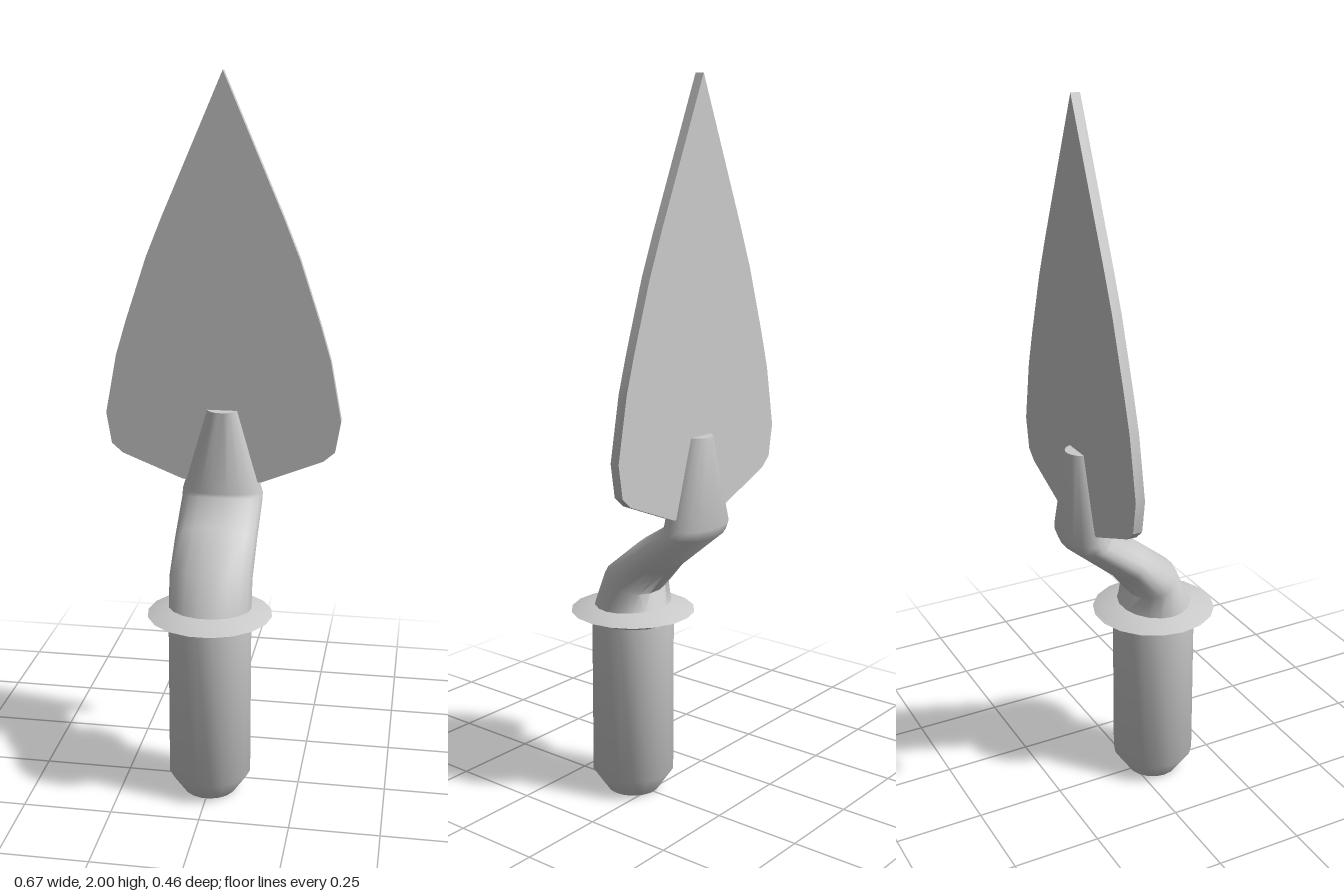
import * as THREE from 'three';
import { toCreasedNormals } from 'three/addons/utils/BufferGeometryUtils.js';

const SIDES = 18;
const HANDLE_Z = 0.06;
const material = new THREE.MeshStandardMaterial({ color: 0xcccccc });

function addPart(group, name, geometry, crease) {
  const mesh = new THREE.Mesh(toCreasedNormals(geometry, crease), material);
  mesh.name = name;
  group.add(mesh);
  return mesh;
}

function lathe(points) {
  return new THREE.LatheGeometry(points.map(([r, y]) => new THREE.Vector2(r, y)), SIDES, Math.PI / SIDES);
}

// Tilted oval rings: [front z, front y, back z, back y, half width], closed by a cap on top
function ovalLoft(rings) {
  const positions = [], index = [];
  for (const [fz, fy, bz, by, w] of rings) {
    for (let j = 0; j < SIDES; j++) {
      const a = ((j + 0.5) / SIDES) * Math.PI * 2;
      const t = (1 - Math.cos(a)) / 2;
      positions.push(w * Math.sin(a), fy + (by - fy) * t, fz + (bz - fz) * t);
    }
  }
  for (let i = 0; i < rings.length - 1; i++) {
    for (let j = 0; j < SIDES; j++) {
      const a = i * SIDES + j, b = i * SIDES + (j + 1) % SIDES;
      index.push(a, b, b + SIDES, a, b + SIDES, a + SIDES);
    }
  }
  const [fz, fy, bz, by] = rings[rings.length - 1];
  const start = (rings.length - 1) * SIDES, centre = rings.length * SIDES;
  positions.push(0, (fy + by) / 2, (fz + bz) / 2);
  for (let j = 0; j < SIDES; j++) index.push(start + j, start + (j + 1) % SIDES, centre);
  const geometry = new THREE.BufferGeometry();
  geometry.setAttribute('position', new THREE.Float32BufferAttribute(positions, 3));
  geometry.setIndex(index);
  geometry.computeVertexNormals();
  return geometry;
}

export function createModel() {
  const group = new THREE.Group();
  group.name = 'trowel';

  // Grip with a bevelled butt
  const handle = addPart(group, 'handle', lathe([[0, 0], [0.075, 0], [0.117, 0.06], [0.117, 0.53]]), 0.9);
  handle.position.z = HANDLE_Z;

  // Thin sharp-edged guard
  const collar = addPart(group, 'collar',
    lathe([[0.115, 0.515], [0.175, 0.54], [0.113, 0.562], [0, 0.565]]), 0.9);
  collar.position.z = HANDLE_Z;

  // Cranked neck tapering onto the blade
  addPart(group, 'neck', ovalLoft([
    [0.165, 0.555, -0.045, 0.555, 0.117],
    [0.11, 0.675, -0.02, 0.605, 0.117],
    [-0.005, 0.767, -0.075, 0.675, 0.117],
    [-0.098, 0.825, -0.217, 0.795, 0.117],
    [-0.1, 0.835, -0.228, 0.825, 0.117],
    [-0.115, 1.07, -0.206, 1.07, 0.045],
  ]), 1.0);

  // Flat pointed blade, mirrored half outline
  const half = [[0.115, 0.862], [0.29, 0.932], [0.322, 0.96], [0.337, 1.05],
    [0.305, 1.22], [0.275, 1.32], [0.215, 1.5], [0.17, 1.61]];
  const outline = [[0, 0.85], ...half, [0, 2], ...half.map(([x, y]) => [-x, y]).reverse()];
  const shape = new THREE.Shape(outline.map(([x, y]) => new THREE.Vector2(x, y)));
  const blade = addPart(group, 'blade',
    new THREE.ExtrudeGeometry(shape, { depth: 0.026, bevelEnabled: false }), 0.6);
  blade.position.z = -0.175;

  return group;
}
